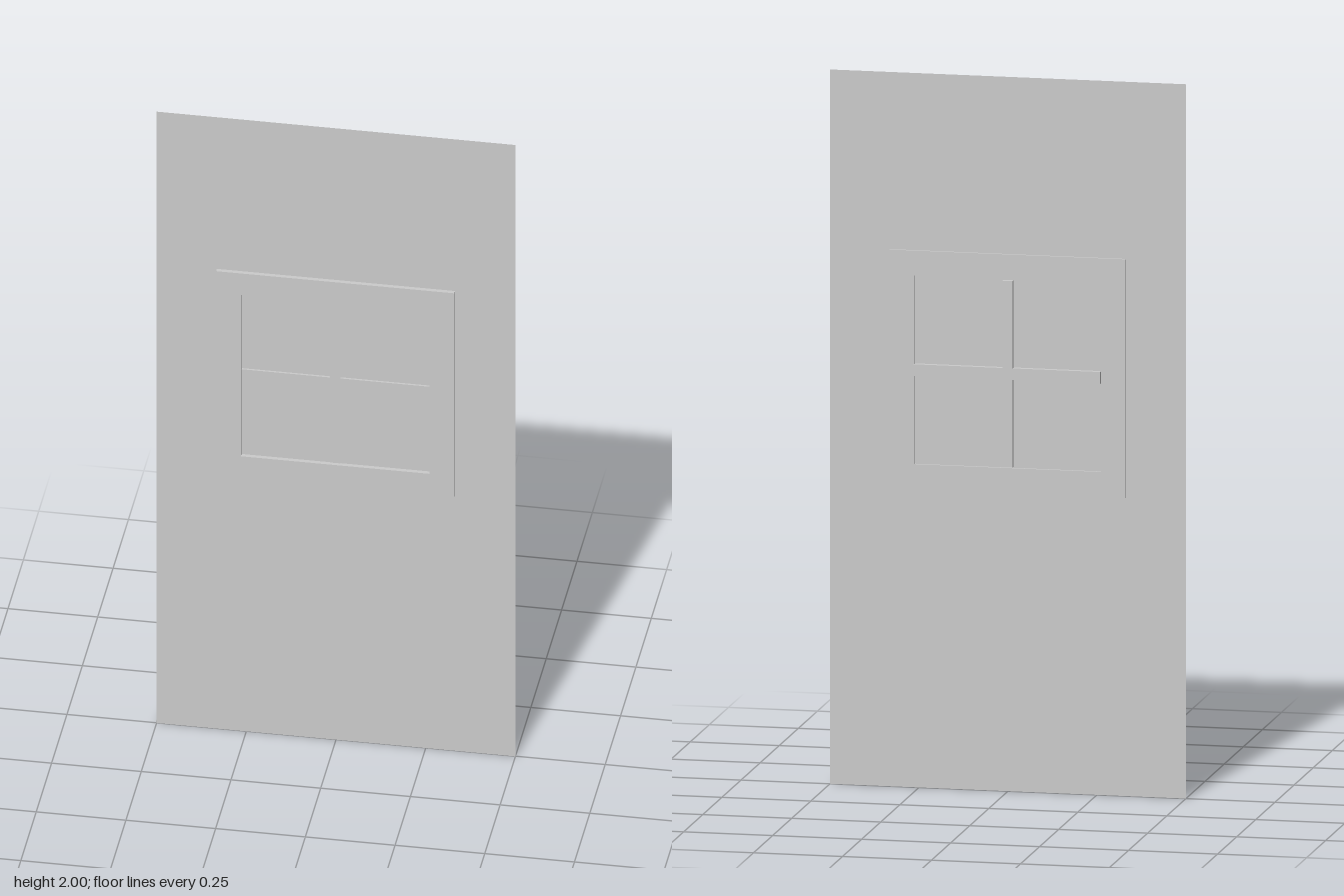
import * as THREE from 'three';

const material = new THREE.MeshStandardMaterial({ color: 0xcccccc, side: THREE.DoubleSide });

function polygon(points, Type = THREE.Shape) {
  return new Type(points.map(([x, y]) => new THREE.Vector2(x, y)));
}

function rectangle(x0, x1, y0, y1, Type) {
  return polygon([[x0, y0], [x1, y0], [x1, y1], [x0, y1]], Type);
}

// Extrude a flat shape between two depths
function slab(name, shape, zBack, zFront) {
  const geometry = new THREE.ExtrudeGeometry(shape, { depth: zFront - zBack, bevelEnabled: false });
  geometry.translate(0, 0, zBack);
  const mesh = new THREE.Mesh(geometry, material);
  mesh.name = name;
  return mesh;
}

export function createModel() {
  const group = new THREE.Group();
  group.name = 'windowPanel';

  // Paper-thin wall panel
  const panel = new THREE.Mesh(new THREE.PlaneGeometry(1, 2), material);
  panel.name = 'panel';
  panel.position.set(0, 1, 0.001);
  group.add(panel);

  // Square frame, showing on both faces of the panel
  const frame = rectangle(-0.332, 0.332, 0.836, 1.504);
  frame.holes.push(rectangle(-0.263, 0.263, 0.906, 1.434, THREE.Path));
  group.add(slab('windowFrame', frame, -0.006, 0.013));

  // Crossed glazing bars, set back from the frame's front
  const [l, r, b, t] = [-0.016, 0.013, 1.154, 1.187];
  const cross = polygon([
    [l, 0.909], [r, 0.909], [r, b], [0.262, b], [0.262, t], [r, t],
    [r, 1.431], [l, 1.431], [l, t], [-0.262, t], [-0.262, b], [l, b],
  ]);
  group.add(slab('glazingBars', cross, -0.013, 0.007));

  return group;
}
